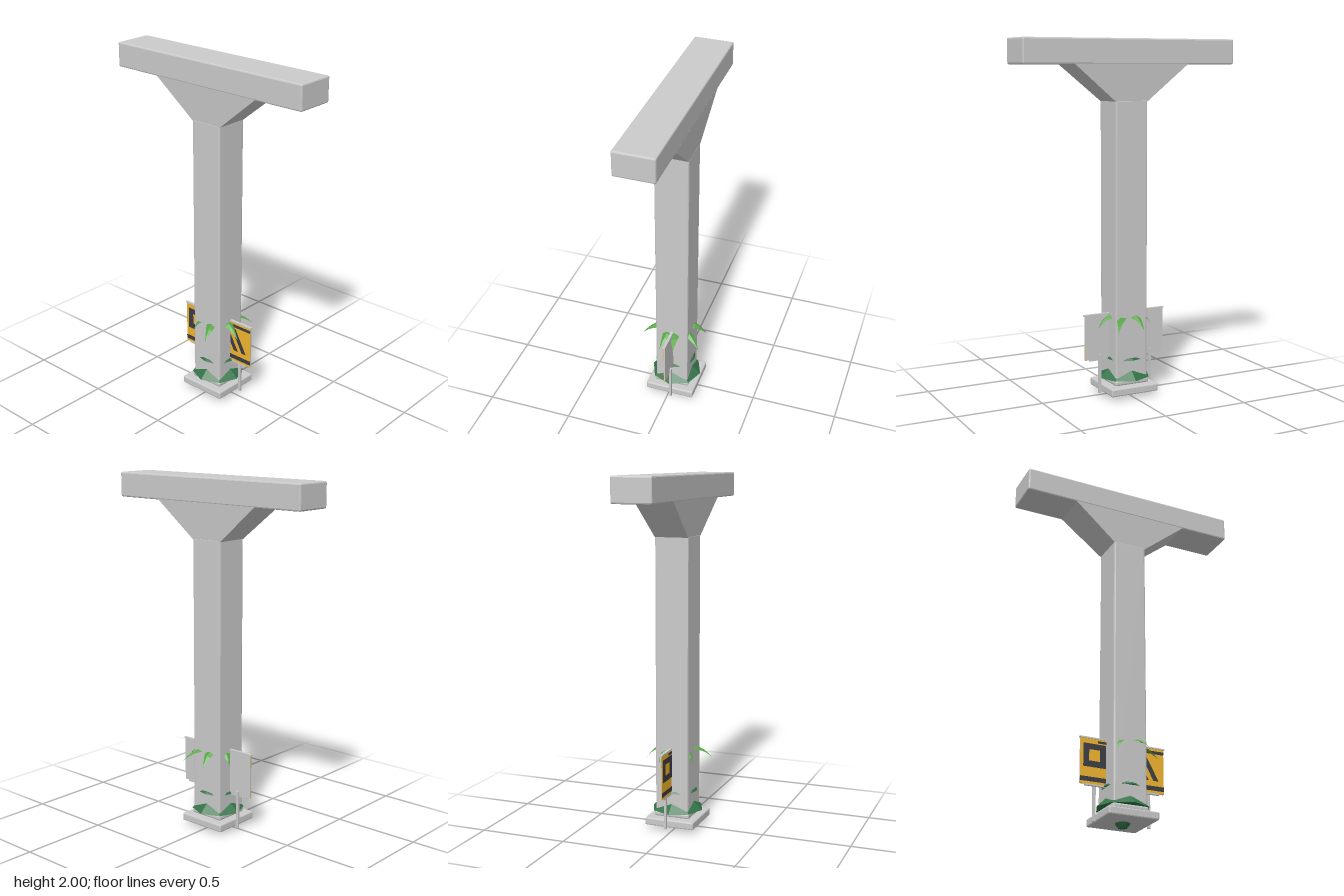
import * as THREE from 'three';
import { RoundedBoxGeometry } from 'three/addons/geometries/RoundedBoxGeometry.js';

const CZ = -0.012; // depth of the column axis

const material = (color, side = THREE.FrontSide) =>
  new THREE.MeshStandardMaterial({ color, side, flatShading: true });
const grey = material(0xcccccc);
const yellow = material(0xf2b52c);
const dark = material(0x3c3c46);
const moss = material(0x34754a, THREE.DoubleSide);
const leafGreen = material(0x58a648, THREE.DoubleSide);

export function createModel() {
  const root = new THREE.Group();

  const add = (name, geometry, mat, x, y, z, parent = root) => {
    const mesh = new THREE.Mesh(geometry, mat);
    mesh.name = name;
    mesh.position.set(x, y, z);
    parent.add(mesh);
    return mesh;
  };
  // Box with chamfered edges, placed by its bottom and top height
  const bevelBox = (name, w, y0, y1, d, bevel) =>
    add(name, new RoundedBoxGeometry(w, y1 - y0, d, 1, bevel), grey, 0, (y0 + y1) / 2, CZ);

  // Concrete support
  bevelBox('crossBeam', 1.284, 1.86, 2.0, 0.225, 0.008);
  bevelBox('column', 0.196, 0.085, 1.67, 0.196, 0.009);
  bevelBox('collar', 0.21, 0.07, 0.102, 0.21, 0.01);
  bevelBox('basePlate', 0.29, 0.024, 0.068, 0.29, 0.007);

  // Flared bracket between the column and the beam
  const flare = new THREE.BoxGeometry(1, 0.205, 1);
  const p = flare.attributes.position;
  for (let i = 0; i < p.count; i++) {
    const top = p.getY(i) > 0;
    p.setX(i, Math.sign(p.getX(i)) * (top ? 0.348 : 0.097));
    p.setZ(i, Math.sign(p.getZ(i)) * (top ? 0.111 : 0.097));
  }
  add('flaredBracket', flare, grey, 0, 1.7615, CZ);

  // Overgrowth around the foot
  add('mossSkirt', new THREE.CylinderGeometry(0.05, 0.149, 0.095, 8), moss, 0, 0.148, CZ);
  add('mossRing', new THREE.CylinderGeometry(0.106, 0.113, 0.012, 12), moss, 0, 0.216, CZ);
  add('rootKnob', new THREE.CylinderGeometry(0.045, 0.025, 0.026, 8), moss, 0, 0.013, CZ);

  // Warning board passing behind the column, on two legs
  const sign = new THREE.Group();
  sign.name = 'warningSign';
  sign.position.z = -0.016;
  root.add(sign);
  const bar = (name, mat, x0, x1, y0, y1, z, depth) =>
    add(name, new THREE.BoxGeometry(x1 - x0, y1 - y0, depth), mat,
      (x0 + x1) / 2, (y0 + y1) / 2, z, sign);
  bar('boardBack', grey, -0.247, 0.247, 0.215, 0.47, -0.002, 0.008);
  bar('boardFace', yellow, -0.247, 0.247, 0.215, 0.47, 0.003, 0.003);
  bar('topRail', grey, -0.253, 0.253, 0.468, 0.476, 0, 0.016);
  bar('bottomRail', grey, -0.22, 0.22, 0.207, 0.216, 0, 0.012);
  for (const s of [-1, 1]) {
    bar('signLeg', grey, s * 0.16 - 0.008, s * 0.16 + 0.008, 0.02, 0.24, -0.01, 0.012);
  }
  // Painted markings
  bar('bottomStripe', dark, -0.247, 0.247, 0.23, 0.255, 0.005, 0.002);
  bar('shortStripe', dark, -0.145, -0.05, 0.447, 0.46, 0.005, 0.002);
  bar('topStripe', dark, 0.05, 0.247, 0.438, 0.455, 0.005, 0.002);
  const frame = new THREE.Shape([[-0.23, 0.31], [-0.1, 0.31], [-0.1, 0.44], [-0.23, 0.44]]
    .map(([x, y]) => new THREE.Vector2(x, y)));
  frame.holes.push(new THREE.Path([[-0.197, 0.344], [-0.197, 0.408], [-0.133, 0.408], [-0.133, 0.344]]
    .map(([x, y]) => new THREE.Vector2(x, y))));
  const extrude = { depth: 0.002, bevelEnabled: false };
  add('squareFrame', new THREE.ExtrudeGeometry(frame, extrude), dark, 0, 0, 0.004, sign);
  const slant = new THREE.Shape([[0.09, 0.285], [0.12, 0.285], [0.04, 0.43], [0.01, 0.43]]
    .map(([x, y]) => new THREE.Vector2(x, y)));
  for (const x of [0.035, 0.095]) {
    add('slantedBar', new THREE.ExtrudeGeometry(slant, extrude), dark, x, 0, 0.004, sign);
  }

  // Arching leaves, each a folded ribbon tapering to a point, given by its tip
  const leaves = new THREE.Group();
  leaves.name = 'leaves';
  leaves.position.z = CZ;
  root.add(leaves);
  const tips = [[0.07, 0.19], [0.19, 0.045], [0.18, -0.035], [0.12, -0.172],
    [-0.04, -0.172], [-0.14, -0.06], [-0.08, 0.12]];
  for (const [x, z] of tips) {
    const leaf = add('leaf', leafGeometry(Math.hypot(x, z)), leafGreen, 0, 0, 0, leaves);
    leaf.rotation.y = Math.atan2(x, z);
  }
  return root;
}

// Leaf reaching out along +z with a raised midrib
function leafGeometry(reach) {
  const arc = new THREE.QuadraticBezierCurve(
    new THREE.Vector2(0.03, 0.455), new THREE.Vector2(0.11, 0.505), new THREE.Vector2(reach, 0.395));
  const steps = 6, points = [], index = [];
  for (let i = 0; i <= steps; i++) {
    const t = i / steps, c = arc.getPoint(t);
    const half = 0.03 * Math.min(1, 0.4 + 2 * t, 1.8 * (1 - t));
    for (const s of [-1, 0, 1]) points.push(s * half, c.y - Math.abs(s) * half * 0.5, c.x);
    if (i === steps) break;
    for (const k of [0, 1]) {
      const a = i * 3 + k;
      index.push(a, a + 3, a + 1, a + 1, a + 3, a + 4);
    }
  }
  const g = new THREE.BufferGeometry();
  g.setAttribute('position', new THREE.Float32BufferAttribute(points, 3));
  g.setIndex(index);
  g.computeVertexNormals();
  return g;
}
